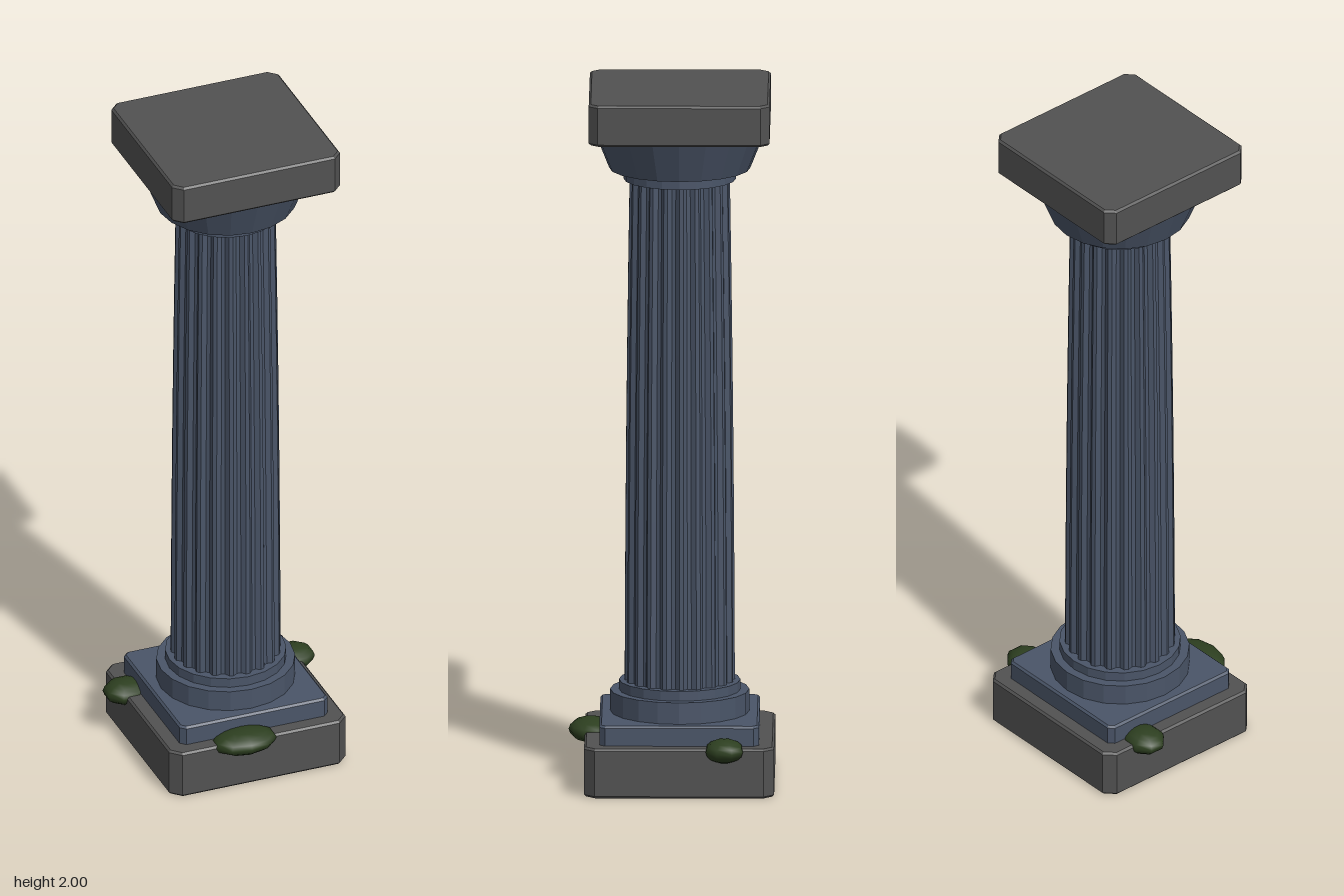
import * as THREE from 'three';

const AXIS_Z = -0.024; // the column axis sits slightly behind the centre

export function createModel() {
  const model = new THREE.Group();
  model.name = 'flutedColumn';

  const material = (name, color) => {
    const m = new THREE.MeshStandardMaterial({ color });
    m.name = name;
    return m;
  };
  const darkStone = material('dark stone', 0x525252);
  const blueStone = material('blue stone', 0x4a5568);
  const moss = material('moss', 0x2d3f20);

  const add = (name, geometry, mat, x = 0, y = 0, z = AXIS_Z) => {
    const mesh = new THREE.Mesh(geometry, mat);
    mesh.name = name;
    mesh.position.set(x, y, z);
    model.add(mesh);
    return mesh;
  };

  // Square slab with cut corners and finely bevelled edges
  const slab = (name, half, cut, y0, y1, mat) => {
    const bevel = 0.006;
    const h = half - bevel, c = h - cut;
    const shape = new THREE.Shape([
      [h, -c], [h, c], [c, h], [-c, h], [-h, c], [-h, -c], [-c, -h], [c, -h],
    ].map(([x, y]) => new THREE.Vector2(x, y)));
    const geo = new THREE.ExtrudeGeometry(shape, {
      depth: y1 - y0 - 2 * bevel, bevelEnabled: true,
      bevelThickness: bevel, bevelSize: bevel, bevelSegments: 1,
    });
    geo.rotateX(-Math.PI / 2);
    add(name, geo, mat, 0, y0 + bevel);
  };
  slab('footSlab', 0.269, 0.026, 0, 0.143, darkStone);
  slab('plinth', 0.226, 0.012, 0.135, 0.2, blueStone);
  slab('abacus', 0.256, 0.022, 1.882, 2, darkStone);

  // Round mouldings, each a faceted drum
  const drum = (name, rBottom, rTop, y0, y1) => {
    const geo = new THREE.CylinderGeometry(rTop, rBottom, y1 - y0, 20).toNonIndexed();
    geo.computeVertexNormals();
    add(name, geo, blueStone, 0, (y0 + y1) / 2);
  };
  drum('lowerBaseRing', 0.197, 0.197, 0.195, 0.262);
  drum('upperBaseRing', 0.172, 0.172, 0.26, 0.29);
  drum('neckRing', 0.159, 0.159, 1.738, 1.775);
  drum('echinus', 0.2, 0.246, 1.77, 1.885);

  // Tapered shaft: alternate flat ribs and sunken flutes around the drum
  const flutes = 20, y0 = 0.285, y1 = 1.742, height = y1 - y0;
  const shaft = new THREE.CylinderGeometry(1, 1, height, flutes * 4, 6, true);
  const pos = shaft.attributes.position;
  const depth = [0, 0, 0.011, 0.011];
  for (let i = 0; i < pos.count; i++) {
    const t = pos.getY(i) / height + 0.5;
    const column = i % (flutes * 4 + 1);
    const radius = 0.156 - 0.004 * t - 0.01 * t * t - depth[column % 4];
    pos.setX(i, pos.getX(i) * radius);
    pos.setZ(i, pos.getZ(i) * radius);
  }
  const facetedShaft = shaft.toNonIndexed();
  facetedShaft.computeVertexNormals();
  add('flutedShaft', facetedShaft, blueStone, 0, (y0 + y1) / 2);

  // Moss cushions hanging over the edges of the foot slab
  const cushion = (name, sides, turn, rx, rz, x, z) => {
    const geo = new THREE.SphereGeometry(1, sides, 8);
    geo.rotateY(turn);
    geo.scale(rx, 0.034, rz);
    add(name, geo, moss, x, 0.136, z);
  };
  cushion('frontMoss', 10, Math.PI / 2, 0.096, 0.063, -0.045, 0.228);
  cushion('leftMoss', 8, Math.PI / 8, 0.065, 0.057, 0.255, -0.152);
  cushion('rightMoss', 8, Math.PI / 8, 0.065, 0.057, -0.255, -0.152);

  return model;
}
